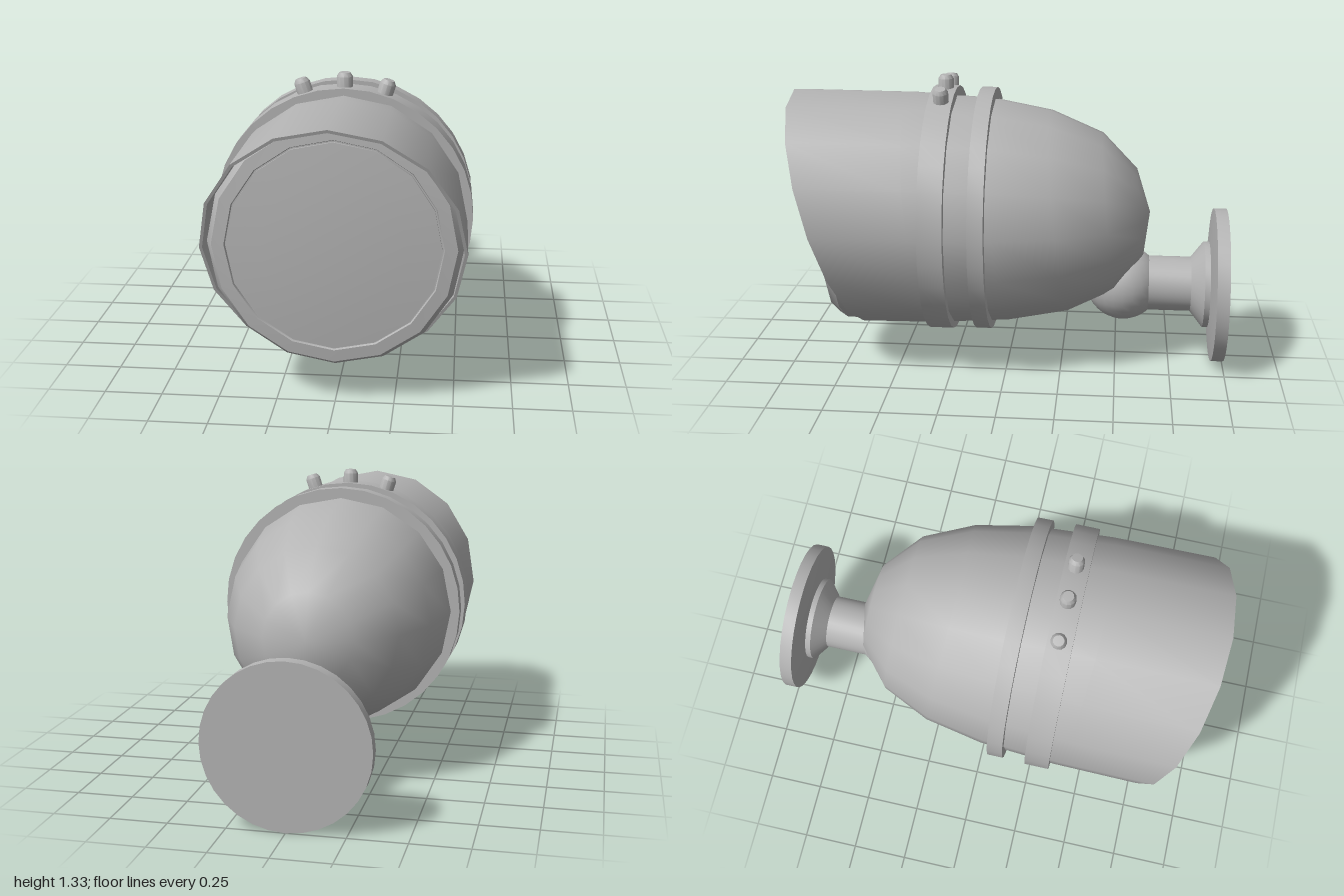
import * as THREE from 'three';
import { mergeVertices, toCreasedNormals } from 'three/addons/utils/BufferGeometryUtils.js';

const BODY_Y = 0.705, MOUNT_Y = 0.357;

// Loft of rings along z; each ring is [z, radius, slant], slant tilts the ring with height.
function loft(rings, sides, crease) {
  const pos = [], index = [];
  for (const [z, r, slant = 0] of rings) {
    for (let j = 0; j < sides; j++) {
      const a = (j / sides) * Math.PI * 2;
      const y = r * Math.sin(a);
      pos.push(r * Math.cos(a), y, z + slant * y);
    }
  }
  for (let i = 0; i < rings.length - 1; i++) {
    for (let j = 0; j < sides; j++) {
      const k = (j + 1) % sides;
      const a = i * sides + j, b = i * sides + k, c = b + sides, d = a + sides;
      if (rings[i][1] > 0) index.push(a, b, c);
      if (rings[i + 1][1] > 0) index.push(a, c, d);
      else if (rings[i][1] > 0) continue;
    }
  }
  const g = new THREE.BufferGeometry();
  g.setAttribute('position', new THREE.Float32BufferAttribute(pos, 3));
  g.setIndex(index);
  return toCreasedNormals(mergeVertices(g), crease);
}

export function createModel() {
  const model = new THREE.Group();
  const metal = new THREE.MeshStandardMaterial({ color: 0xb4b4b4 });
  metal.name = 'grey metal';

  function add(name, geometry, y = BODY_Y, z = 0) {
    const mesh = new THREE.Mesh(geometry, metal);
    mesh.name = name;
    mesh.position.set(0, y, z);
    model.add(mesh);
    return mesh;
  }

  // Domed housing running into a hood with a slanted, open mouth
  add('housing', loft([
    [-0.645, 0], [-0.6, 0.2, 0.1], [-0.455, 0.365, 0.1], [-0.23, 0.467, 0.11],
    [0.04, 0.518, 0.1], [0.4, 0.541, 0.12], [0.83, 0.545, 0.312],
    [0.83, 0.532, 0.312], [0.6, 0.525],
  ], 16, 0.6));

  // Bezel and slightly domed lens inside the hood
  add('bezel', loft([
    [0.6, 0.53], [0.745, 0.53], [0.785, 0.505], [0.79, 0.452], [0.78, 0.448], [0.78, 0.4],
  ], 16, 0.45));
  add('lens', loft([
    [0.77, 0.442], [0.79, 0.442], [0.801, 0.3], [0.807, 0.15], [0.809, 0],
  ], 16, 0.45));

  // Two raised bands around the housing
  for (const [name, z0, z1, r] of [['frontBand', 0.245, 0.355, 0.565], ['rearBand', 0.07, 0.14, 0.56]]) {
    add(name, loft([[z0, 0.48], [z0, r], [z1, r], [z1, 0.48]], 32, 0.6));
  }

  // Three studs fanned over the top of the front band
  const studProfile = [[0, 0.53], [0.035, 0.53], [0.035, 0.607], [0.024, 0.624], [0, 0.625]]
    .map(([x, y]) => new THREE.Vector2(x, y));
  const studGeometry = toCreasedNormals(new THREE.LatheGeometry(studProfile, 12), 0.6);
  for (const side of [-1, 0, 1]) {
    add('stud', studGeometry, BODY_Y, 0.295).rotation.z = -side * 0.312;
  }

  // Ball joint, neck with flared collar, and round wall plate
  add('ballJoint', new THREE.SphereGeometry(0.174, 24, 16), MOUNT_Y, -0.53);
  add('neck', loft([
    [-0.93, 0.2], [-0.9, 0.2], [-0.842, 0.127], [-0.62, 0.127],
  ], 32, 0.5), MOUNT_Y);
  add('wallPlate', loft([
    [-1, 0], [-1, 0.357], [-0.943, 0.357], [-0.925, 0.2], [-0.925, 0],
  ], 32, 0.5), MOUNT_Y);

  return model;
}
